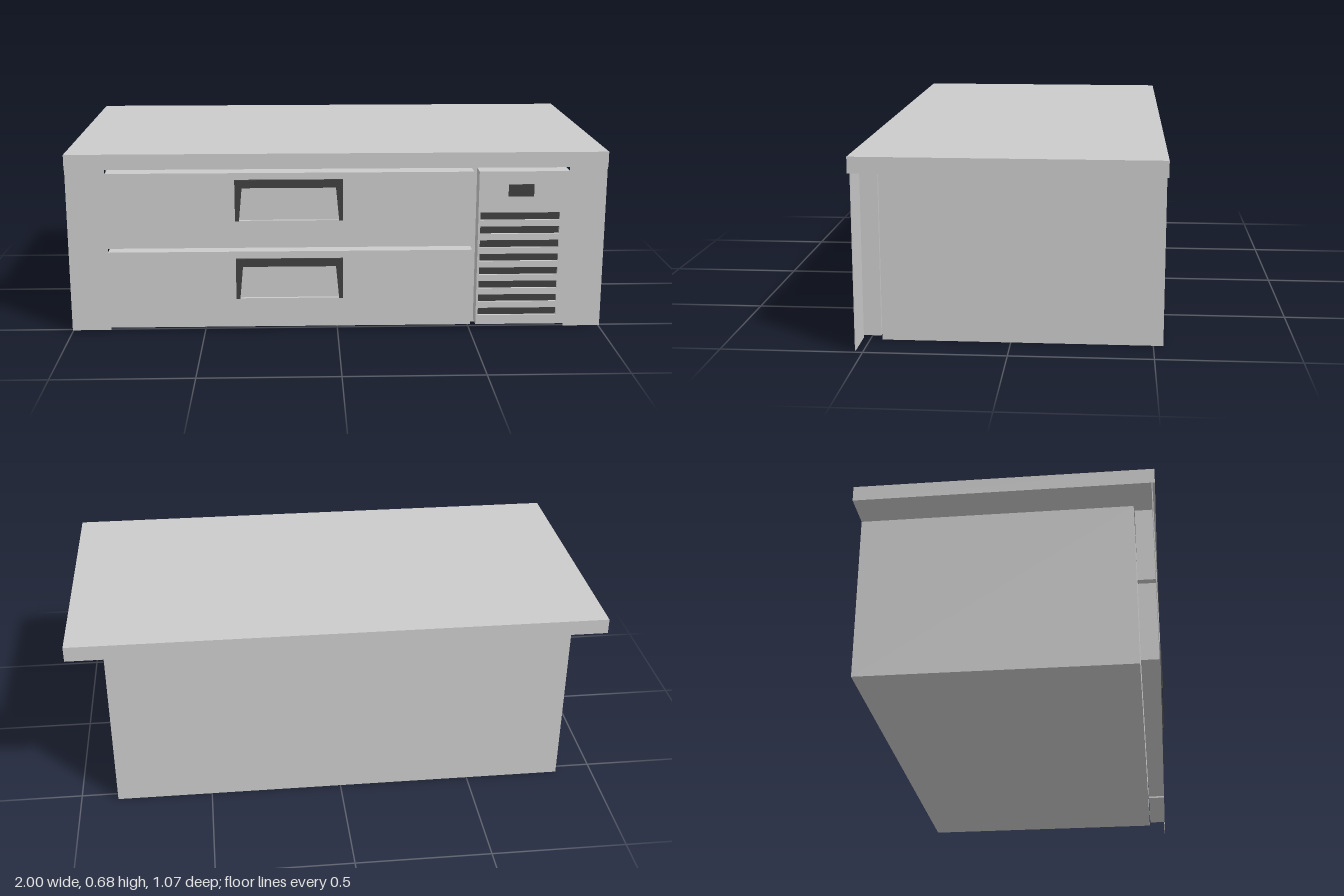
import * as THREE from 'three';

const grey = new THREE.MeshStandardMaterial({ color: 0xcccccc, flatShading: true });
const dark = new THREE.MeshStandardMaterial({ color: 0x404040, flatShading: true });

const FRONT = 0.526; // plane of the drawer faces
const BACK = 0.46; // rear of the drawer faces

// Box given by its limits on each axis
function block(name, [x0, x1], [y0, y1], [z0, z1], material = grey) {
  const mesh = new THREE.Mesh(new THREE.BoxGeometry(x1 - x0, y1 - y0, z1 - z0), material);
  mesh.position.set((x0 + x1) / 2, (y0 + y1) / 2, (z0 + z1) / 2);
  mesh.name = name;
  return mesh;
}

function rect(Type, x0, x1, y0, y1) {
  return new Type([[x0, y0], [x1, y0], [x1, y1], [x0, y1]].map(([x, y]) => new THREE.Vector2(x, y)));
}

// Flat plate with cut-outs, from z0 to z1
function plate(name, shape, z0, z1, material = grey) {
  const geometry = new THREE.ExtrudeGeometry(shape, { depth: z1 - z0, bevelEnabled: false });
  geometry.translate(0, 0, z0);
  const mesh = new THREE.Mesh(geometry, material);
  mesh.name = name;
  return mesh;
}

// Drawer face with a shallow pocket framed by a dark arched pull
function drawer(y0, y1, pullBottom) {
  const group = new THREE.Group();
  group.name = 'drawer';
  const [left, right] = [-0.38, 0.02];
  const top = pullBottom + 0.156;

  const face = rect(THREE.Shape, -0.855, 0.505, y0, y1);
  face.holes.push(rect(THREE.Path, left + 0.012, right - 0.012, pullBottom, top - 0.01));
  group.add(plate('drawerFace', face, BACK, FRONT));
  group.add(block('pocketBack', [left, right], [pullBottom - 0.005, top], [BACK + 0.002, FRONT - 0.012]));

  const arch = new THREE.Shape([
    [left, pullBottom], [left + 0.014, pullBottom], [left + 0.026, top - 0.03],
    [right - 0.026, top - 0.03], [right - 0.014, pullBottom], [right, pullBottom],
    [right, top], [left, top],
  ].map(([x, y]) => new THREE.Vector2(x, y)));
  group.add(plate('drawerHandle', arch, FRONT - 0.012, 0.535, dark));
  return group;
}

// Machine compartment cover with slots and a small display
function ventPanel() {
  const group = new THREE.Group();
  group.name = 'ventPanel';
  const face = rect(THREE.Shape, 0.525, 0.86, 0.015, 0.61);
  for (let i = 0; i < 8; i++) {
    const y = 0.051 + i * 0.0533;
    face.holes.push(rect(THREE.Path, 0.533, 0.83, y, y + 0.029));
  }
  group.add(plate('ventFace', face, BACK, FRONT));
  group.add(block('ventBacking', [0.53, 0.84], [0.04, 0.47], [BACK + 0.002, FRONT - 0.01], dark));
  group.add(block('display', [0.635, 0.73], [0.515, 0.561], [FRONT - 0.01, FRONT + 0.002], dark));
  return group;
}

export function createModel() {
  const model = new THREE.Group();
  model.name = 'refrigeratedBase';

  // Cabinet and overhanging top
  model.add(block('cabinet', [-0.86, 0.86], [0, 0.627], [-0.535, 0.457]));
  model.add(block('countertop', [-1, 1], [0.627, 0.684], [-0.535, 0.535]));

  // Drawers and vents
  model.add(drawer(0.325, 0.61, 0.429));
  model.add(drawer(0.015, 0.31, 0.127));
  model.add(ventPanel());

  // Thin side flanges flush with the drawer faces
  model.add(block('sideFlange', [-1, -0.855], [0.006, 0.627], [FRONT - 0.003, FRONT]));
  model.add(block('sideFlange', [0.86, 1], [0.006, 0.627], [FRONT - 0.003, FRONT]));
  return model;
}
